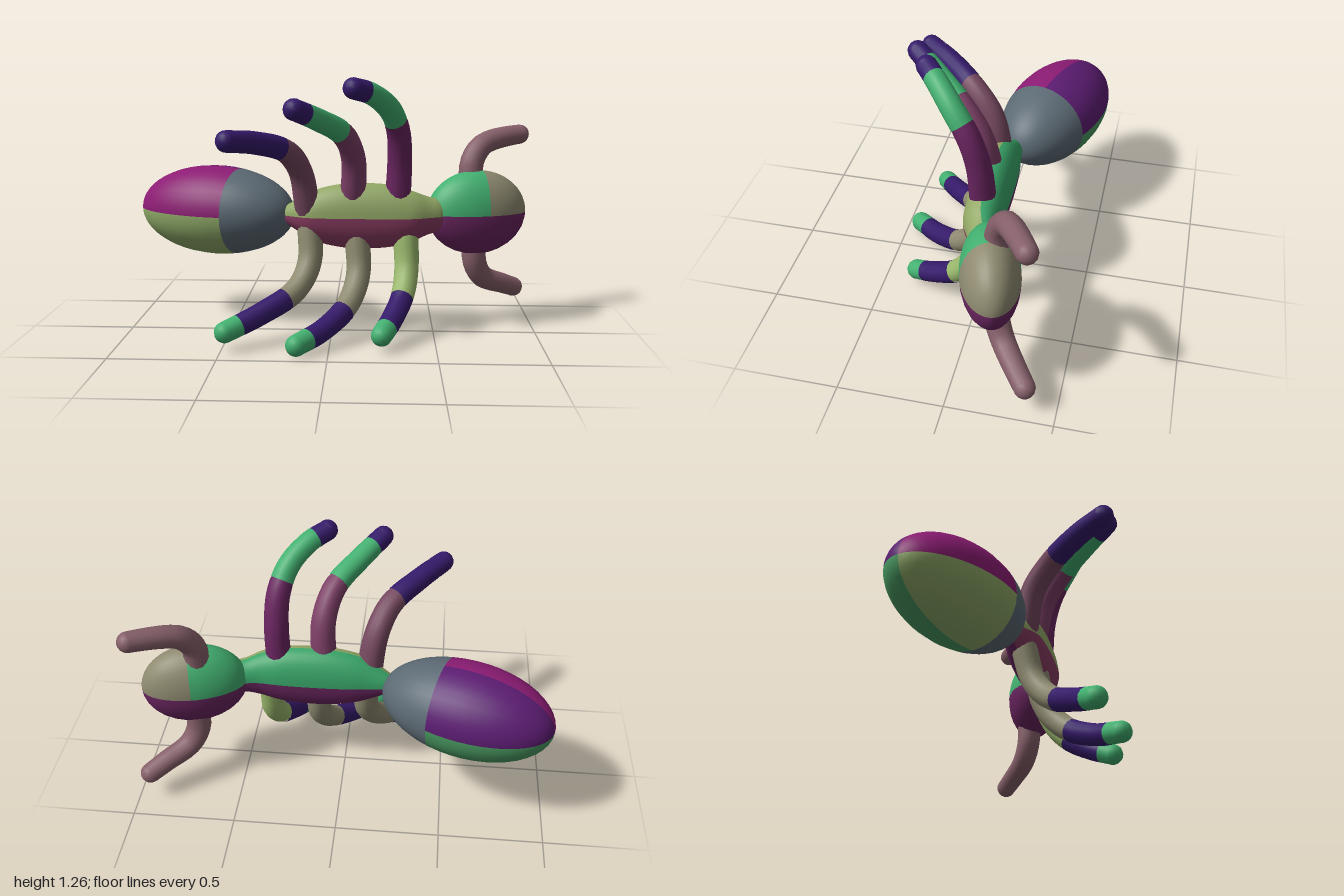
import * as THREE from 'three';

const TAU = Math.PI * 2;
const V = (p) => new THREE.Vector3(...p);

function addMesh(parent, name, geometry, color) {
  const mesh = new THREE.Mesh(geometry, new THREE.MeshStandardMaterial({ color, roughness: 0.8 }));
  mesh.name = name;
  parent.add(mesh);
  return mesh;
}

// Surface of revolution along x; angle 0 is front, PI/2 below, PI back, 3PI/2 above.
function revolve(profile, start = 0, length = TAU) {
  const pts = profile.map(([x, r]) => new THREE.Vector2(Math.max(r, 1e-4), x));
  const g = new THREE.LatheGeometry(pts, Math.max(8, Math.round((32 * length) / TAU)), start, length);
  return g.rotateZ(-Math.PI / 2);
}

// Unit sphere profile between two positions along x
function arcProfile(from, to) {
  const a = Math.acos(from), b = Math.acos(to);
  return Array.from({ length: 15 }, (_, i) => {
    const t = a + ((b - a) * i) / 14;
    return [Math.cos(t), Math.sin(t)];
  });
}

// Ellipsoid made of coloured patches: [from, to, startAngle, angleLength, color]
function ellipsoid(parent, name, center, radii, turn, patches) {
  const group = new THREE.Group();
  group.name = name;
  patches.forEach(([from, to, start, length, color], i) => {
    const g = revolve(arcProfile(from, to), start, length).scale(...radii);
    addMesh(group, `${name}Patch${i + 1}`, g, color);
  });
  group.position.set(...center);
  group.rotation.y = turn;
  parent.add(group);
}

// Rounded limb along a smooth path, cut into coloured sections: [from, to, color]
function limb(parent, name, points, r0, r1, sections) {
  const group = new THREE.Group();
  group.name = name;
  const path = new THREE.CatmullRomCurve3(points.map(V));
  const radius = (t) => r0 + (r1 - r0) * t;
  const rings = 14, sides = 14;
  sections.forEach(([from, to, color], s) => {
    const end = Math.min(1, to + 0.02); // slight overlap hides the joint
    const pts = Array.from({ length: 9 }, (_, i) => path.getPointAt(from + ((end - from) * i) / 8));
    const curve = new THREE.CatmullRomCurve3(pts);
    const g = new THREE.TubeGeometry(curve, rings, 1, sides);
    const pos = g.attributes.position, v = new THREE.Vector3();
    // Taper each ring about its centre; the overlapping end tucks inside the next section
    for (let i = 0; i < pos.count; i++) {
      const t = Math.floor(i / (sides + 1)) / rings;
      const c = curve.getPointAt(t);
      const r = radius(from + (end - from) * t) * (t === 1 && to < 1 ? 0.93 : 1);
      v.fromBufferAttribute(pos, i).sub(c).multiplyScalar(r).add(c);
      pos.setXYZ(i, v.x, v.y, v.z);
    }
    addMesh(group, `${name}Section${s + 1}`, g, color);
  });
  const tip = addMesh(group, `${name}Tip`, new THREE.SphereGeometry(r1, 14, 10), sections.at(-1)[2]);
  tip.position.copy(path.getPointAt(1));
  parent.add(group);
}

export function createModel() {
  const ant = new THREE.Group();
  ant.name = 'ant';
  const plum = 0x6a2560, green = 0x42b070, indigo = 0x351a6a, tan = 0x8e8a70, rose = 0x86606a;

  // Abdomen, swept back from the waist
  ellipsoid(ant, 'abdomen', [-0.597, 0.573, -0.215], [0.42, 0.226, 0.237], -0.33, [
    [-1, 0.3, 0, Math.PI / 2, 0x8faa68],
    [-1, 0.3, Math.PI / 2, Math.PI / 2, 0x4a9a62],
    [-1, 0.3, Math.PI, Math.PI / 2, 0x5c1c72],
    [-1, 0.3, Math.PI * 1.5, Math.PI / 2, 0x8c1c74],
    [0.3, 1, 0, TAU, 0x5c6a74],
  ]);

  // Head, tilted back at the face end
  ellipsoid(ant, 'head', [0.715, 0.58, -0.152], [0.255, 0.211, 0.136], 0.26, [
    [-1, 0.1, Math.PI, Math.PI, green],
    [0.1, 1, Math.PI, Math.PI, tan],
    [-1, 1, 0, Math.PI, plum],
  ]);

  // Thorax, tall and flat between two narrow necks
  const outline = new THREE.SplineCurve([
    [-0.27, 0], [-0.235, 0.04], [-0.195, 0.066], [-0.1, 0.12], [0, 0.15], [0.12, 0.163],
    [0.28, 0.155], [0.39, 0.125], [0.47, 0.094], [0.54, 0.075], [0.6, 0],
  ].map((p) => new THREE.Vector2(...p))).getPoints(40).map((p) => [p.x, p.y]);
  const thorax = new THREE.Group();
  thorax.name = 'thorax';
  [[0, 0x8a3c62], [Math.PI / 2, plum], [Math.PI, 0x38a468], [Math.PI * 1.5, 0x92a866]].forEach(([a, color], i) => {
    const g = revolve(outline, a, Math.PI / 2);
    const pos = g.attributes.position;
    for (let k = 0; k < pos.count; k++) {
      const r = Math.hypot(pos.getY(k), pos.getZ(k));
      const x = pos.getX(k);
      // Flatten front to back and bend both necks towards the neighbouring parts
      const sway = -0.037 - 0.055 * THREE.MathUtils.smoothstep(x, 0.38, 0.6)
        - 0.03 * (1 - THREE.MathUtils.smoothstep(x, -0.27, -0.1));
      pos.setZ(k, (pos.getZ(k) * 0.118) / Math.hypot(0.118, r * 0.95) + sway);
    }
    g.computeVertexNormals();
    addMesh(thorax, `thoraxPatch${i + 1}`, g, color);
  });
  thorax.position.y = 0.577;
  ant.add(thorax);

  // Antennae
  limb(ant, 'upperAntenna', [[0.69, 0.7, -0.175], [0.69, 0.82, -0.187], [0.74, 0.905, -0.228], [0.84, 0.94, -0.29], [0.945, 0.953, -0.35]],
    0.063, 0.049, [[0, 1, rose]]);
  limb(ant, 'lowerAntenna', [[0.71, 0.45, -0.175], [0.715, 0.32, -0.182], [0.76, 0.235, -0.22], [0.85, 0.19, -0.287], [0.935, 0.15, -0.355]],
    0.063, 0.05, [[0, 1, rose]]);

  // Three legs on each side of the thorax, all reaching forward
  const legs = [
    ['upperFrontLeg', [[0.32, 0.66, -0.03], [0.327, 0.85, -0.013], [0.318, 1.0, 0.035], [0.275, 1.11, 0.115], [0.19, 1.185, 0.205], [0.11, 1.213, 0.275]], plum, green, indigo],
    ['upperMiddleLeg', [[0.1, 0.66, -0.02], [0.105, 0.86, 0.03], [0.06, 0.99, 0.13], [-0.05, 1.07, 0.27], [-0.15, 1.125, 0.395]], 0x7c3f66, green, indigo],
    ['upperRearLeg', [[-0.12, 0.6, -0.02], [-0.15, 0.8, 0.03], [-0.21, 0.91, 0.13], [-0.34, 0.965, 0.28], [-0.45, 0.985, 0.415]], 0x75485f, indigo, indigo],
    ['lowerFrontLeg', [[0.36, 0.5, -0.03], [0.365, 0.32, 0.015], [0.345, 0.21, 0.1], [0.295, 0.13, 0.225], [0.245, 0.08, 0.335]], 0x9ab86c, indigo, green],
    ['lowerMiddleLeg', [[0.12, 0.5, -0.02], [0.13, 0.3, 0.03], [0.08, 0.17, 0.14], [-0.03, 0.09, 0.29], [-0.145, 0.055, 0.425]], tan, indigo, green],
    ['lowerRearLeg', [[-0.11, 0.54, -0.03], [-0.11, 0.35, 0.02], [-0.17, 0.235, 0.11], [-0.32, 0.155, 0.245], [-0.48, 0.095, 0.365]], tan, indigo, green],
  ];
  for (const [name, points, thigh, shin, foot] of legs) {
    limb(ant, name, points, 0.063, 0.05, [[0, 0.55, thigh], [0.55, 0.9, shin], [0.9, 1, foot]]);
  }
  return ant;
}
